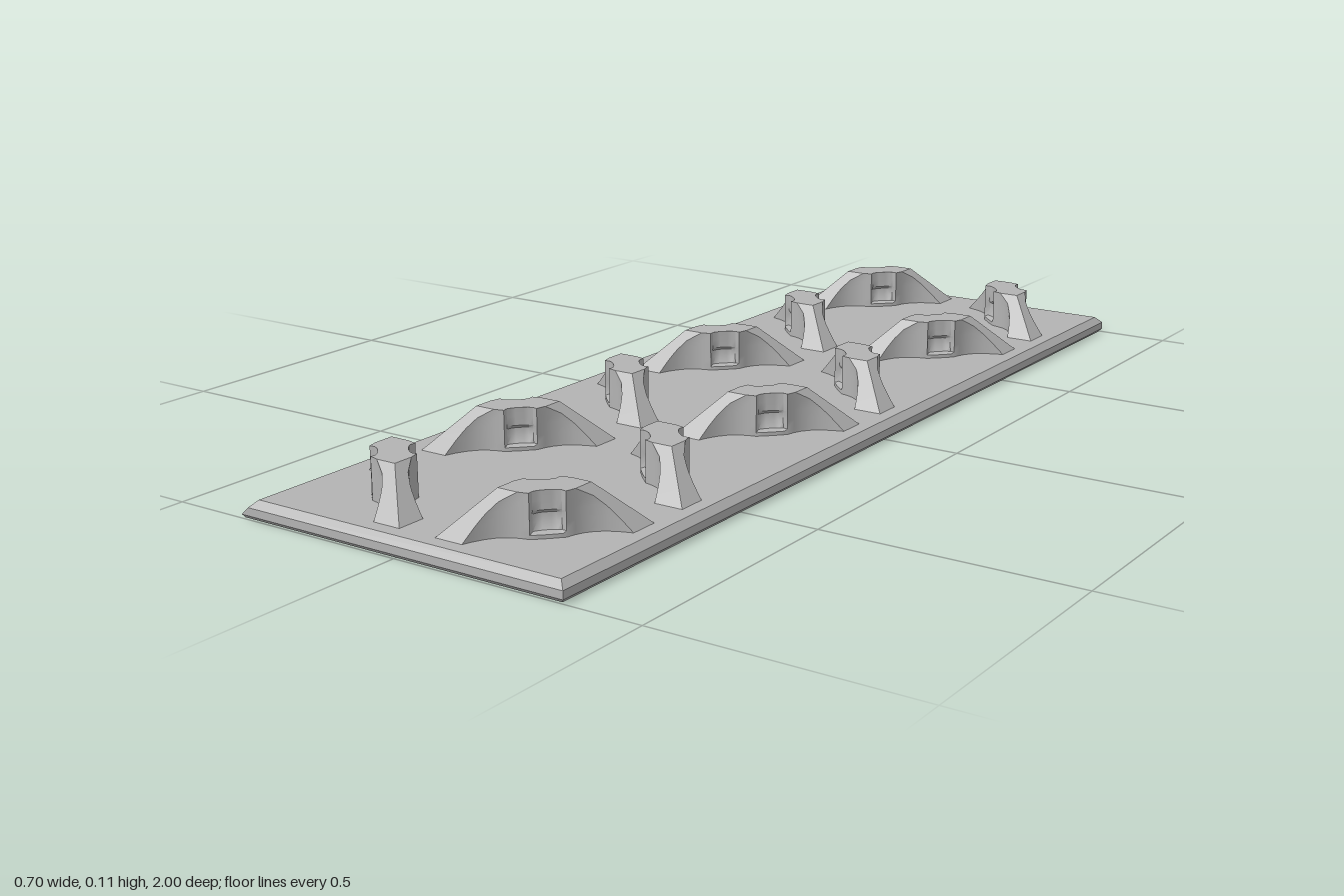
import * as THREE from 'three';
import { toCreasedNormals } from 'three/addons/utils/BufferGeometryUtils.js';

// Skin a stack of equal rings (clockwise seen from above) and cap both ends
function loft(rings) {
  const n = rings[0].length, index = [];
  const opp = i => (n - i) % n;
  for (let r = 0; r < rings.length - 1; r++) {
    for (let i = 0; i < n; i++) {
      const j = (i + 1) % n, a = r * n, b = a + n;
      index.push(a + i, b + i, a + j, b + i, b + j, a + j);
    }
  }
  const t = (rings.length - 1) * n;
  for (let i = 0; i < n / 2; i++) {
    index.push(t + i, t + opp(i), t + opp(i + 1), t + i, t + opp(i + 1), t + i + 1);
    index.push(i, opp(i + 1), opp(i), i, i + 1, opp(i + 1));
  }
  const geo = new THREE.BufferGeometry();
  geo.setAttribute('position', new THREE.Float32BufferAttribute(rings.flat(2), 3));
  geo.setIndex(index);
  return toCreasedNormals(geo, 0.55);
}

// Half thickness of a holder wall along its length: bulge, neck, flared end
const WALL = [[0, 0.04], [0.03, 0.039], [0.045, 0.03], [0.06, 0.024], [0.08, 0.021],
  [0.1, 0.024], [0.12, 0.031], [0.14, 0.041], [0.2, 0.07]];
function wall(u) {
  const k = Math.max(1, WALL.findIndex(p => p[0] >= u));
  const [u0, v0] = WALL[k - 1], [u1, v1] = WALL[k];
  return v0 + (v1 - v0) * (u - u0) / (u1 - u0);
}

const BASE = 0.034, TOP = 0.114;
const HALF = [0, 0.008, 0.016, 0.024, 0.03, 0.045, 0.06, 0.08, 0.1, 0.12, 0.14];
const SAMPLES = [...HALF.slice(1).reverse(), ...HALF.map(u => -u)];

// One cross-section of a holder: pointed ends shrink with height, grooved in the middle
function holderRing(y, depth) {
  const t = (y - BASE) / (TOP - BASE);
  const tip = Math.SQRT2 * (0.128 + (0.054 - 0.128) * t);
  let lo = 0, hi = tip;
  for (let i = 0; i < 30; i++) {
    const mid = (lo + hi) / 2;
    if (mid + wall(mid) < tip) lo = mid; else hi = mid;
  }
  const side = SAMPLES.map(s => {
    const u = Math.sign(s) * Math.min(Math.abs(s), lo);
    const groove = depth * Math.sqrt(Math.max(0, 1 - (u / 0.03) ** 2));
    return [u, y, wall(Math.abs(u)) - groove];
  });
  const back = side.map(([u, h, v]) => [u, h, -v]).reverse();
  return [[tip, y, 0], ...side, [-tip, y, 0], ...back];
}

export function createModel() {
  const model = new THREE.Group();
  model.name = 'holderPlate';
  const grey = new THREE.MeshStandardMaterial({ color: 0xb3b3b3 });
  grey.name = 'grey';

  // Base plate with bevelled rims, wider slope on the -x edge
  const plateRings = [
    [0, -0.348, 0.344, 0.994], [0.007, -0.35, 0.35, 1],
    [0.022, -0.334, 0.35, 1], [0.035, -0.32, 0.337, 0.987],
  ].map(([y, x0, x1, z]) => [[x1, y, z], [x0, y, z], [x0, y, -z], [x1, y, -z]]);
  const plate = new THREE.Mesh(loft(plateRings), grey);
  plate.name = 'basePlate';
  model.add(plate);

  // Twelve diagonal holders, alternating direction in two columns
  const holderGeo = loft([
    [BASE, 0], [0.042, 0], [0.046, 0.012], [0.06, 0.019], [0.074, 0.02],
    [0.08, 0.014], [0.097, 0.014], [TOP, 0.014],
  ].map(([y, depth]) => holderRing(y, depth)));
  [-0.15, 0.182].forEach((x, col) => {
    for (let row = 0; row < 6; row++) {
      const holder = new THREE.Mesh(holderGeo, grey);
      holder.name = `holder${col * 6 + row + 1}`;
      holder.position.set(x, 0, -0.835 + row * 0.3335);
      holder.rotation.y = ((row + col) % 2 ? -1 : 1) * Math.PI / 4;
      model.add(holder);
    }
  });
  return model;
}
